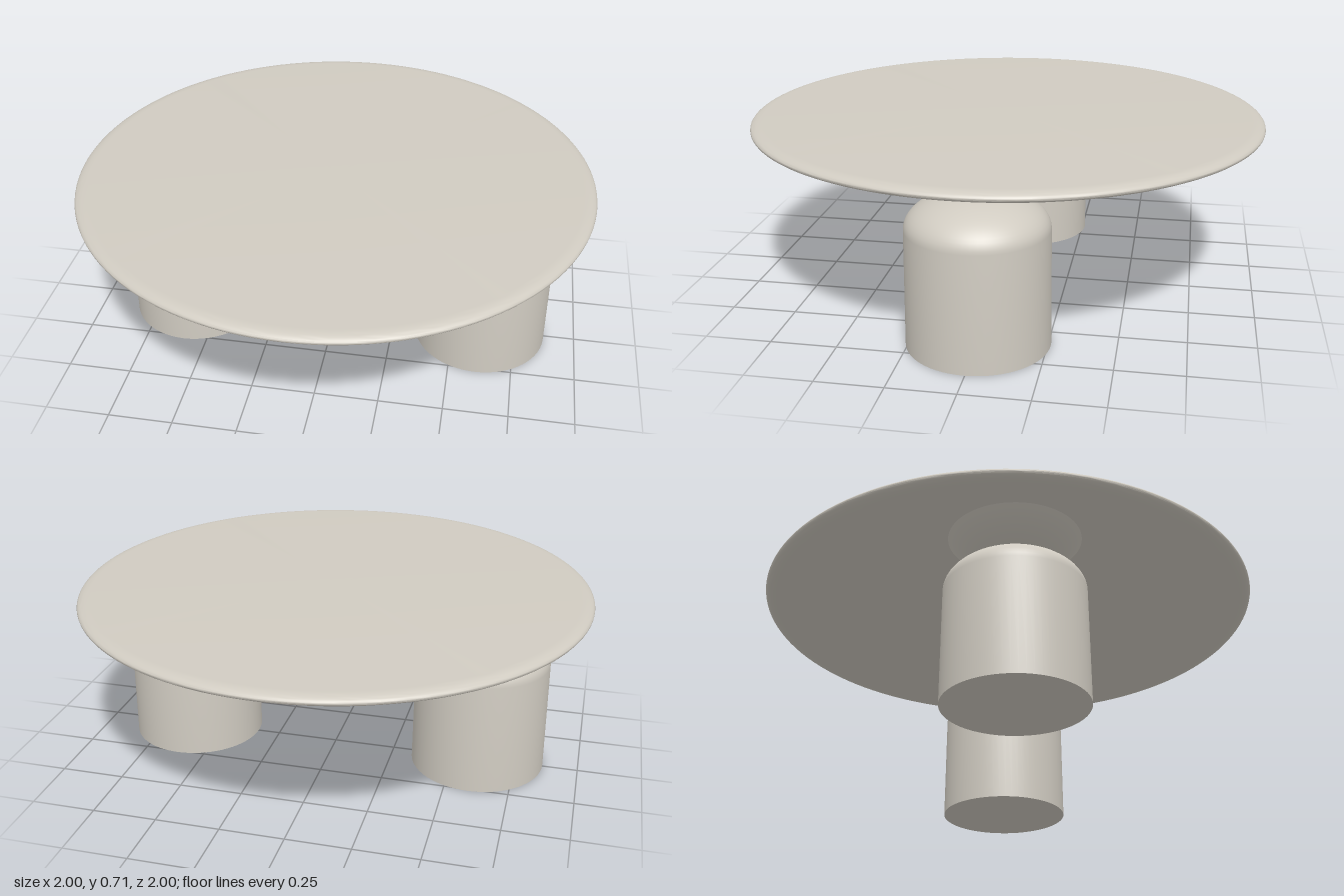
import * as THREE from 'three';
import { toCreasedNormals } from 'three/addons/utils/BufferGeometryUtils.js';

const stone = new THREE.MeshStandardMaterial({ color: 0xd0cbc1 });
stone.name = 'warm grey stone';

// Points on an elliptical arc in (radius, height), angles in degrees
function arc(cx, cy, rx, ry, from, to, steps) {
  return Array.from({ length: steps + 1 }, (_, i) => {
    const a = THREE.MathUtils.degToRad(from + (to - from) * i / steps);
    return new THREE.Vector2(Math.max(0, cx + rx * Math.cos(a)), cy + ry * Math.sin(a));
  });
}

// Turned solid from a profile running bottom to top
function turned(name, profile, segments) {
  const geometry = toCreasedNormals(new THREE.LatheGeometry(profile, segments), 0.6);
  const mesh = new THREE.Mesh(geometry, stone);
  mesh.name = name;
  return mesh;
}

const point = (r, y) => new THREE.Vector2(r, y);

export function createModel() {
  const table = new THREE.Group();
  table.name = 'roundTable';

  // Thin disc with a bullnose rim
  table.add(turned('tableTop', [
    point(0, 0.67),
    ...arc(0.95, 0.69, 0.05, 0.02, -90, 90, 16),
    point(0, 0.71),
  ], 128));

  // Two domed drums, each carrying a shallow bowl under the top
  for (const [side, x] of [['right', -0.595], ['left', 0.609]]) {
    const leg = new THREE.Group();
    leg.name = side + 'Leg';
    leg.position.set(x, 0, 0.004);

    leg.add(turned(side + 'Drum', [
      point(0, 0),
      point(0.266, 0),
      ...arc(0, 0.445, 0.262, 0.132, 0, 90, 16),
    ], 64));

    // Spherical cap, radius 0.37, closed just inside the top
    const rim = THREE.MathUtils.radToDeg(Math.asin(0.255 / 0.37));
    leg.add(turned(side + 'Bowl', [
      ...arc(0, 0.945, 0.37, 0.37, -90, -90 + rim, 14),
      point(0, 0.68),
    ], 64));

    table.add(leg);
  }
  return table;
}
